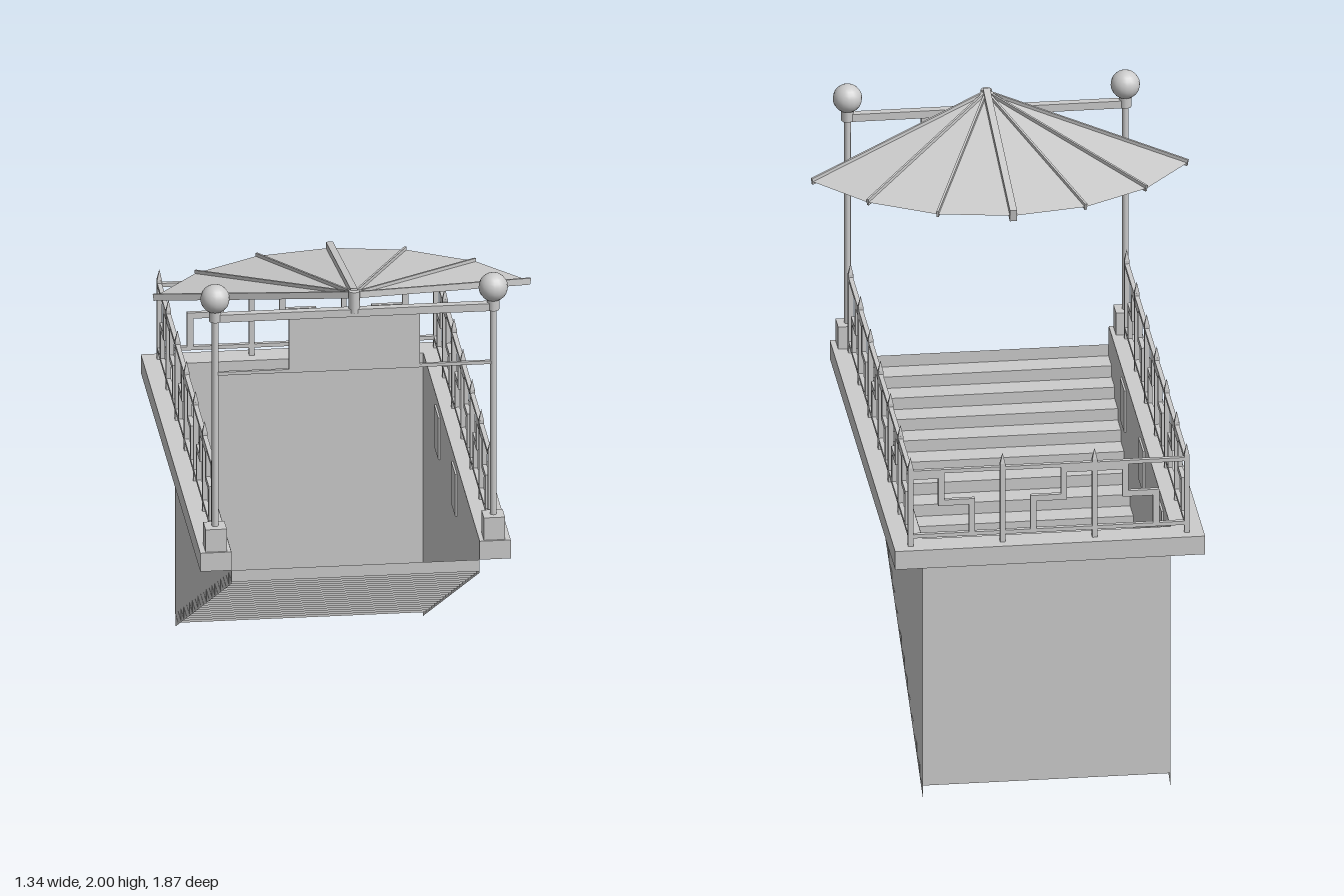
import * as THREE from 'three';
import { mergeGeometries } from 'three/addons/utils/BufferGeometryUtils.js';

const grey = new THREE.MeshStandardMaterial({ color: 0xcccccc });
const flat = new THREE.MeshStandardMaterial({ color: 0xcccccc, flatShading: true, side: THREE.DoubleSide });

function add(parent, name, geometry, x = 0, y = 0, z = 0, material = grey) {
  const mesh = new THREE.Mesh(geometry, material);
  mesh.name = name;
  mesh.position.set(x, y, z);
  parent.add(mesh);
  return mesh;
}

// Box given by its lower and upper corners
function boxBetween(parent, name, [x0, y0, z0], [x1, y1, z1]) {
  return add(parent, name, new THREE.BoxGeometry(x1 - x0, y1 - y0, z1 - z0),
    (x0 + x1) / 2, (y0 + y1) / 2, (z0 + z1) / 2);
}

// Stepped sheet descending towards the back
function stairGeometry() {
  const count = 20, run = 0.088, rise = 0.044, parts = [];
  for (let k = 0; k < count; k++) {
    const z = -0.83 + run * k, y = 0.05 + rise * k;
    parts.push(new THREE.PlaneGeometry(0.88, run).rotateX(-Math.PI / 2).translate(0, y, z + run / 2));
    parts.push(new THREE.PlaneGeometry(0.88, rise).rotateY(Math.PI).translate(0, y + rise / 2, z + run));
  }
  return mergeGeometries(parts);
}

// Railing along local x: spear-topped posts, two rails, stepped arches round the odd posts
function fence(name, panels, spacing, firstPost, lastPost) {
  const group = new THREE.Group();
  group.name = name;
  const length = panels * spacing, t = 0.022, d = 0.016;
  boxBetween(group, 'topRail', [0, 1.275, -0.008], [length, 1.289, 0.008]);
  boxBetween(group, 'bottomRail', [0, 1.03, -0.008], [length, 1.044, 0.008]);
  for (let i = 0; i <= panels; i++) {
    const x = i * spacing;
    if (i >= firstPost && i <= lastPost) {
      boxBetween(group, 'post', [x - 0.009, 1, -0.009], [x + 0.009, 1.3, 0.009]);
      add(group, 'postTip', new THREE.ConeGeometry(0.0125, 0.04, 4).rotateY(Math.PI / 4), x, 1.32, 0, flat);
    }
    if (i % 2 === 0) continue;
    for (const s of [-1, 1]) {
      if (s > 0 && i === panels) continue;
      const bar = (a, b, y0, y1) => boxBetween(group, 'archBar',
        [x + Math.min(s * a, s * b), y0, -d / 2], [x + Math.max(s * a, s * b), y1, d / 2]);
      const inner = spacing / 3, outer = spacing * 2 / 3;
      bar(0, inner + t / 2, 1.255, 1.277);
      bar(inner - t / 2, inner + t / 2, 1.15, 1.255);
      bar(inner + t / 2, outer + t / 2, 1.15, 1.172);
      bar(outer - t / 2, outer + t / 2, 1.044, 1.15);
    }
  }
  return group;
}

// Fan-shaped canopy with ribs
function canopy() {
  const group = new THREE.Group();
  group.name = 'canopy';
  group.position.set(0, 1.94, 0.885);
  const radius = 0.77, drop = 0.135, panels = 6, span = Math.PI * 2 / 3;
  add(group, 'canopyPanels',
    new THREE.ConeGeometry(radius, drop, panels, 1, true, Math.PI - span / 2, span), 0, -drop / 2, 0, flat);
  for (let i = 0; i <= panels; i++) {
    const arm = new THREE.Group();
    arm.name = 'ribArm';
    arm.rotation.y = -span / 2 + span * i / panels;
    const middle = i === panels / 2;
    const rib = add(arm, 'rib',
      new THREE.BoxGeometry(middle ? 0.025 : 0.008, middle ? 0.045 : 0.024, Math.hypot(radius, drop)),
      0, -drop / 2, -radius / 2);
    rib.rotation.x = -Math.atan2(drop, radius);
    group.add(arm);
  }
  add(group, 'hub', new THREE.CylinderGeometry(0.02, 0.02, 0.08, 8), 0, -0.025, 0);
  return group;
}

export function createModel() {
  const model = new THREE.Group();
  model.name = 'stairwayEntrance';

  // Stairwell: side walls follow the slope of the steps
  const wallShape = new THREE.Shape([[-0.83, 0], [0.93, 0.88], [0.93, 0.999], [-0.83, 0.999]]
    .map(([z, y]) => new THREE.Vector2(z, y)));
  for (const s of [-1, 1]) {
    const wall = add(model, 'sideWall', new THREE.ShapeGeometry(wallShape), s * 0.439, 0, 0, flat);
    wall.rotation.y = -Math.PI / 2;
    boxBetween(model, 'sideCurb', [s * 0.495 - 0.055, 0.93, -0.93], [s * 0.495 + 0.055, 1, 0.93]);
  }
  add(model, 'backWall', new THREE.PlaneGeometry(0.88, 0.949), 0, 0.5245, -0.83, flat);
  boxBetween(model, 'backCurb', [-0.44, 0.93, -0.93], [0.44, 1, -0.83]);
  add(model, 'stairs', stairGeometry(), 0, 0, 0, flat);

  // Flat panels on the inner walls
  for (const [s, z] of [[-1, -0.57], [-1, -0.04], [-1, 0.49], [1, -0.36], [1, 0.17]]) {
    add(model, 'wallPanel', new THREE.BoxGeometry(0.008, 0.16, 0.125), s * 0.436, 0.89, z);
  }

  // Railings on both sides and across the back
  for (const s of [-1, 1]) {
    const side = fence('sideRailing', 6, 0.2838, 0, 6);
    side.rotation.y = Math.PI / 2;
    side.position.set(s * 0.49, 0, 0.82);
    model.add(side);
  }
  const back = fence('backRailing', 3, 0.3267, 1, 2);
  back.position.set(-0.49, 0, -0.883);
  model.add(back);

  // Lamp posts at the front
  for (const s of [-1, 1]) {
    const post = new THREE.Group();
    post.name = 'lampPost';
    post.position.set(s * 0.493, 0, 0.885);
    add(post, 'pedestal', new THREE.BoxGeometry(0.075, 0.085, 0.075), 0, 1.0425, 0);
    add(post, 'pole', new THREE.CylinderGeometry(0.012, 0.012, 0.8, 8), 0, 1.48, 0);
    add(post, 'collar', new THREE.CylinderGeometry(0.022, 0.022, 0.045, 8), 0, 1.885, 0);
    add(post, 'globe', new THREE.SphereGeometry(0.052, 16, 12), 0, 1.948, 0);
    model.add(post);
  }

  // Cross bars carrying a blank sign board
  boxBetween(model, 'upperCrossBar', [-0.49, 1.862, 0.87], [0.49, 1.89, 0.9]);
  boxBetween(model, 'lowerCrossBar', [-0.49, 1.657, 0.879], [0.49, 1.669, 0.891]);
  boxBetween(model, 'signBoard', [-0.232, 1.657, 0.877], [0.232, 1.862, 0.893]);

  model.add(canopy());
  return model;
}
